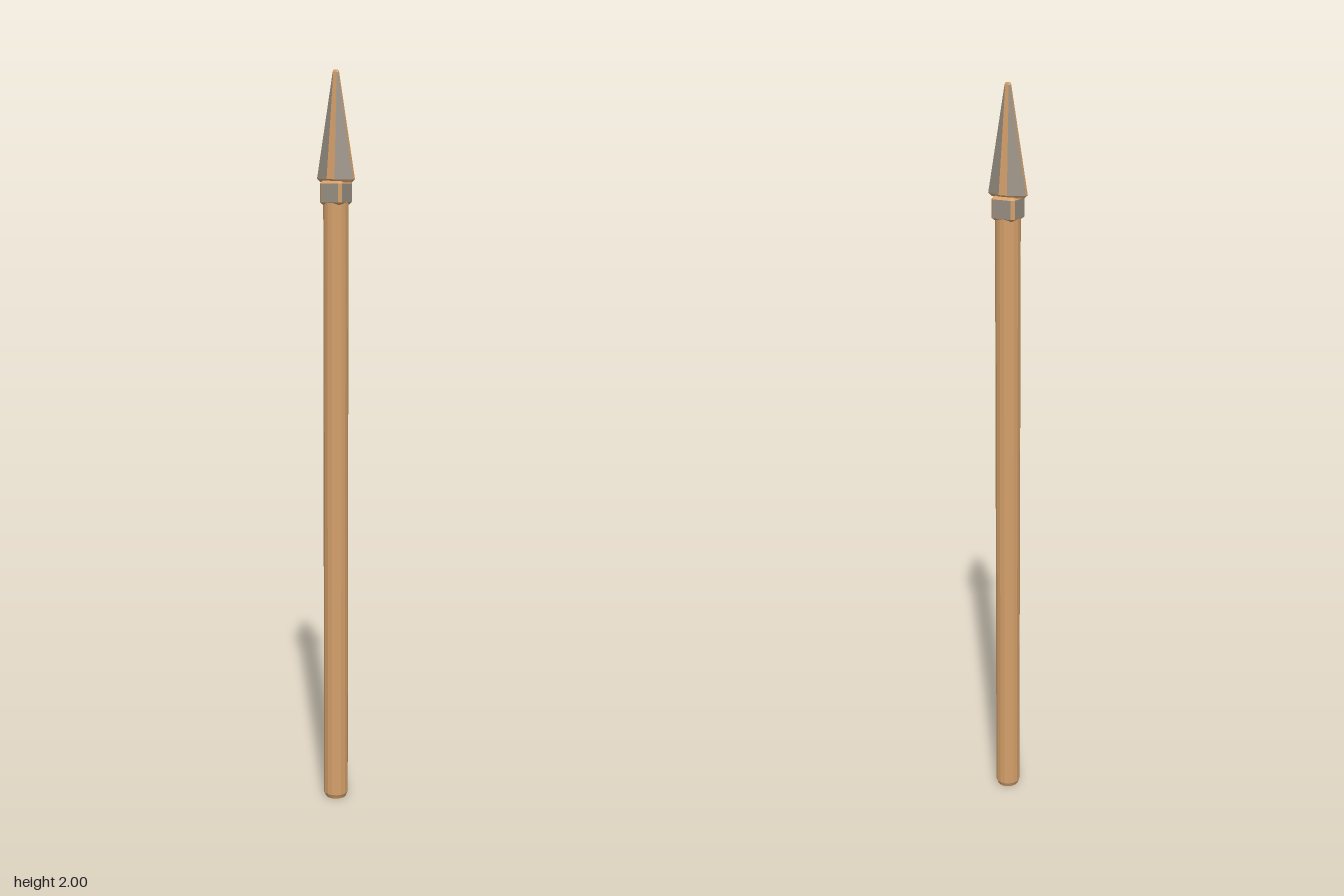
import * as THREE from 'three';

const wood = new THREE.MeshStandardMaterial({ color: 0xd4a06a });
wood.name = 'tan wood';
const steel = new THREE.MeshStandardMaterial({ color: 0x9a9184 });
steel.name = 'warm grey steel';
const materials = [wood, steel];
const WOOD = 0, STEEL = 1;

// Eight-cornered ring: half extents hx, hz; flats end at ix (front/back) and iz (sides)
function ring(y, hx, hz, ix, iz) {
  return [[hx, iz], [hx, -iz], [ix, -hz], [-ix, -hz], [-hx, -iz], [-hx, iz], [-ix, hz], [ix, hz]]
    .map(([x, z]) => [x, y, z]);
}

// Flat-shaded skin through rings; paint(band, side) picks the colour of each face
function loft(name, rings, paint) {
  const buckets = [[], []];
  const tri = (m, a, b, c) => buckets[m].push(...a, ...b, ...c);
  const n = rings[0].length;
  for (let r = 0; r < rings.length - 1; r++) {
    for (let i = 0; i < n; i++) {
      const j = (i + 1) % n, m = paint(r, i);
      tri(m, rings[r][i], rings[r][j], rings[r + 1][j]);
      tri(m, rings[r][i], rings[r + 1][j], rings[r + 1][i]);
    }
  }
  const low = rings[0], top = rings[rings.length - 1];
  for (let i = 1; i < n - 1; i++) {
    tri(STEEL, low[0], low[i + 1], low[i]);
    tri(WOOD, top[0], top[i], top[i + 1]);
  }
  const geometry = new THREE.BufferGeometry();
  geometry.setAttribute('position', new THREE.Float32BufferAttribute(buckets.flat(), 3));
  geometry.addGroup(0, buckets[0].length / 3, 0);
  geometry.addGroup(buckets[0].length / 3, buckets[1].length / 3, 1);
  geometry.computeVertexNormals();
  const mesh = new THREE.Mesh(geometry, materials);
  mesh.name = name;
  return mesh;
}

export function createModel() {
  const group = new THREE.Group();
  group.name = 'spear';

  // Round shaft with a bevelled butt
  const profile = [[0, 0], [0.028, 0], [0.0335, 0.012], [0.0335, 1.66], [0, 1.66]]
    .map(([x, y]) => new THREE.Vector2(x, y));
  const shaftGeometry = new THREE.LatheGeometry(profile, 16, Math.PI / 16).toNonIndexed();
  shaftGeometry.computeVertexNormals();
  const shaft = new THREE.Mesh(shaftGeometry, wood);
  shaft.name = 'shaft';
  group.add(shaft);

  // Square collar: steel sides, tan bevels on every edge
  group.add(loft('collar', [
    ring(1.653, 0.026, 0.026, 0.026, 0.026),
    ring(1.659, 0.034, 0.034, 0.026, 0.026),
    ring(1.708, 0.034, 0.034, 0.026, 0.026),
    ring(1.715, 0.026, 0.026, 0.026, 0.026),
  ], (band, side) => (band === 1 && side % 2 === 0 ? STEEL : WOOD)));

  // Diamond blade: steel faces, tan ridges, cutting edges and base bevel
  group.add(loft('blade', [
    ring(1.711, 0.046, 0.022, 0.011, 0.004),
    ring(1.719, 0.055, 0.028, 0.012, 0.005),
    ring(1.994, 0.008, 0.005, 0.005, 0.003),
    ring(2, 0.005, 0.003, 0.004, 0.002),
  ], (band, side) => (band === 1 && side % 2 === 1 ? STEEL : WOOD)));

  return group;
}
